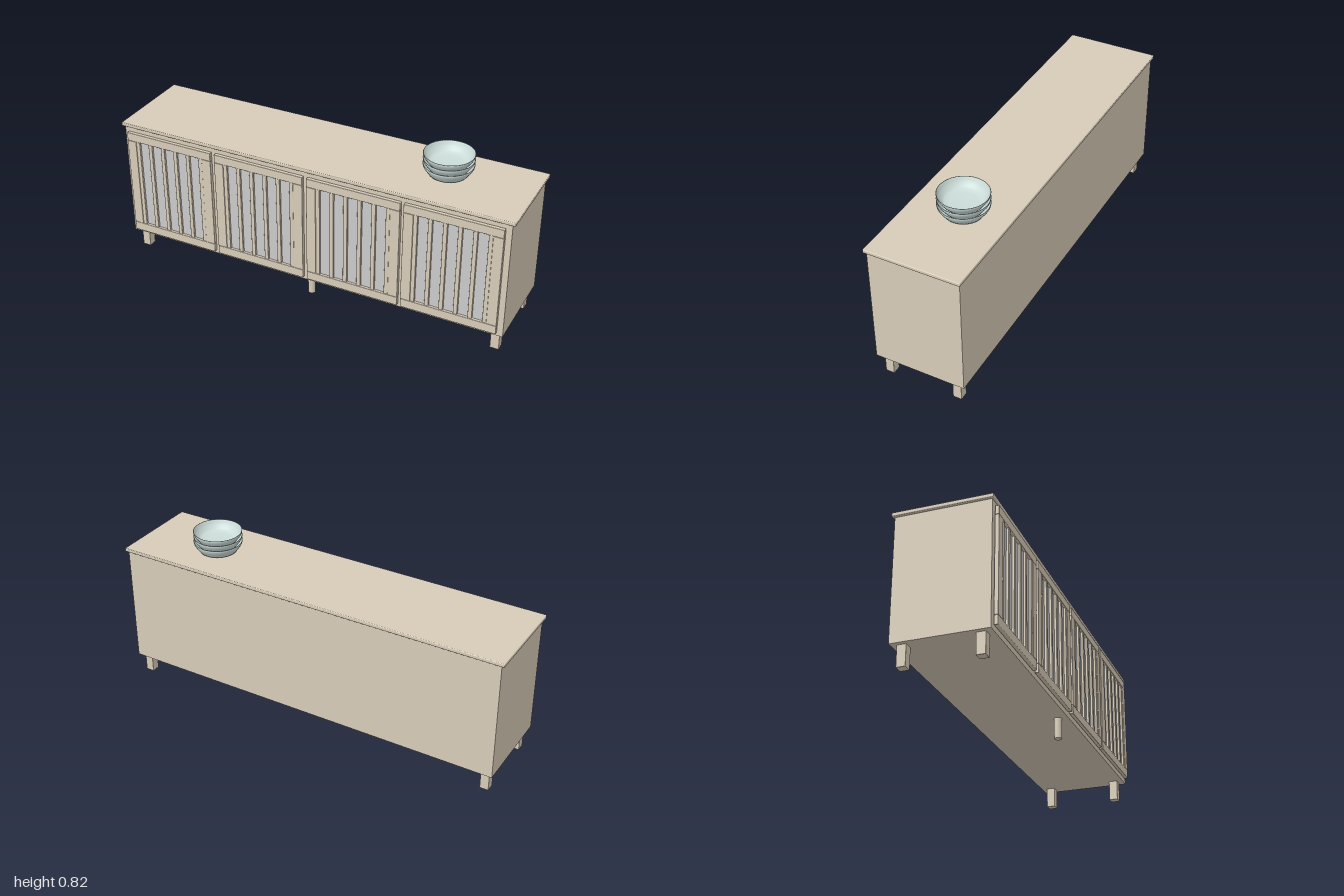
import * as THREE from 'three';
import { RoundedBoxGeometry } from 'three/addons/geometries/RoundedBoxGeometry.js';

const wood = new THREE.MeshStandardMaterial({ color: 0xd8ccb8 });
const pane = new THREE.MeshStandardMaterial({ color: 0xd9dad6 });
const ceramic = new THREE.MeshStandardMaterial({ color: 0xcbdcd8, side: THREE.DoubleSide });

// Box given by its limits on each axis; r > 0 rounds the edges
function block(name, [x0, x1], [y0, y1], [z0, z1], r = 0, material = wood) {
  const size = [x1 - x0, y1 - y0, z1 - z0];
  const geometry = r ? new RoundedBoxGeometry(...size, 2, r) : new THREE.BoxGeometry(...size);
  const mesh = new THREE.Mesh(geometry, material);
  mesh.name = name;
  mesh.position.set((x0 + x1) / 2, (y0 + y1) / 2, (z0 + z1) / 2);
  return mesh;
}

// Framed door with a pale panel behind upright slats
function createDoor(centre) {
  const door = new THREE.Group();
  door.name = 'door';
  door.position.x = centre;
  const half = 0.233, inner = 0.185, slat = 0.02, count = 6;
  const z = [0.22, 0.239];
  door.add(block('bottomRail', [-half, half], [0.12, 0.165], z, 0.003));
  door.add(block('topRail', [-half, half], [0.63, 0.673], z, 0.003));
  for (const s of [-1, 1]) {
    const x = [s * half, s * inner].sort((a, b) => a - b);
    door.add(block('stile', x, [0.165, 0.63], z, 0.002));
  }
  door.add(block('panel', [-inner, inner], [0.165, 0.63], [0.221, 0.226], 0, pane));
  const pitch = (2 * inner - slat) / (count - 1);
  for (let i = 0; i < count; i++) {
    const x = -inner + i * pitch;
    door.add(block('slat', [x, x + slat], [0.165, 0.63], [0.222, 0.237], 0.002));
  }
  return door;
}

// Thin-walled bowl: outside from the foot to the rim, then back down inside
function createBowl(y) {
  const profile = [
    [0, 0], [0.06, 0], [0.066, 0.003], [0.09, 0.008], [0.1, 0.022], [0.11, 0.036],
    [0.116, 0.047], [0.118, 0.057], [0.115, 0.057], [0.112, 0.045], [0.104, 0.032],
    [0.094, 0.02], [0.084, 0.012], [0.06, 0.008], [0, 0.007],
  ].map(([r, h]) => new THREE.Vector2(r, h));
  const bowl = new THREE.Mesh(new THREE.LatheGeometry(profile, 48), ceramic);
  bowl.name = 'bowl';
  bowl.position.set(0.593, y, -0.025);
  return bowl;
}

export function createModel() {
  const model = new THREE.Group();
  model.name = 'sideboard';

  // Cabinet body and overhanging top
  model.add(block('cabinet', [-0.985, 0.985], [0.1, 0.696], [-0.227, 0.217]));
  model.add(block('top', [-1, 1], [0.695, 0.713], [-0.237, 0.227], 0.004));

  // Four doors across the front
  for (const x of [-0.73, -0.243, 0.243, 0.725]) model.add(createDoor(x));

  // Corner legs
  for (const x of [-0.942, 0.942]) {
    for (const z of [-0.179, 0.167]) {
      model.add(block('leg', [x - 0.0215, x + 0.0215], [0, 0.101], [z - 0.0215, z + 0.0215], 0.002));
    }
  }

  // Round support under the middle of the front
  const support = new THREE.Mesh(new THREE.CylinderGeometry(0.018, 0.018, 0.101, 24), wood);
  support.name = 'middleLeg';
  support.position.set(0, 0.0505, 0.167);
  model.add(support);

  // Stack of three bowls
  for (let i = 0; i < 3; i++) model.add(createBowl(0.7135 + i * 0.0265));

  return model;
}
